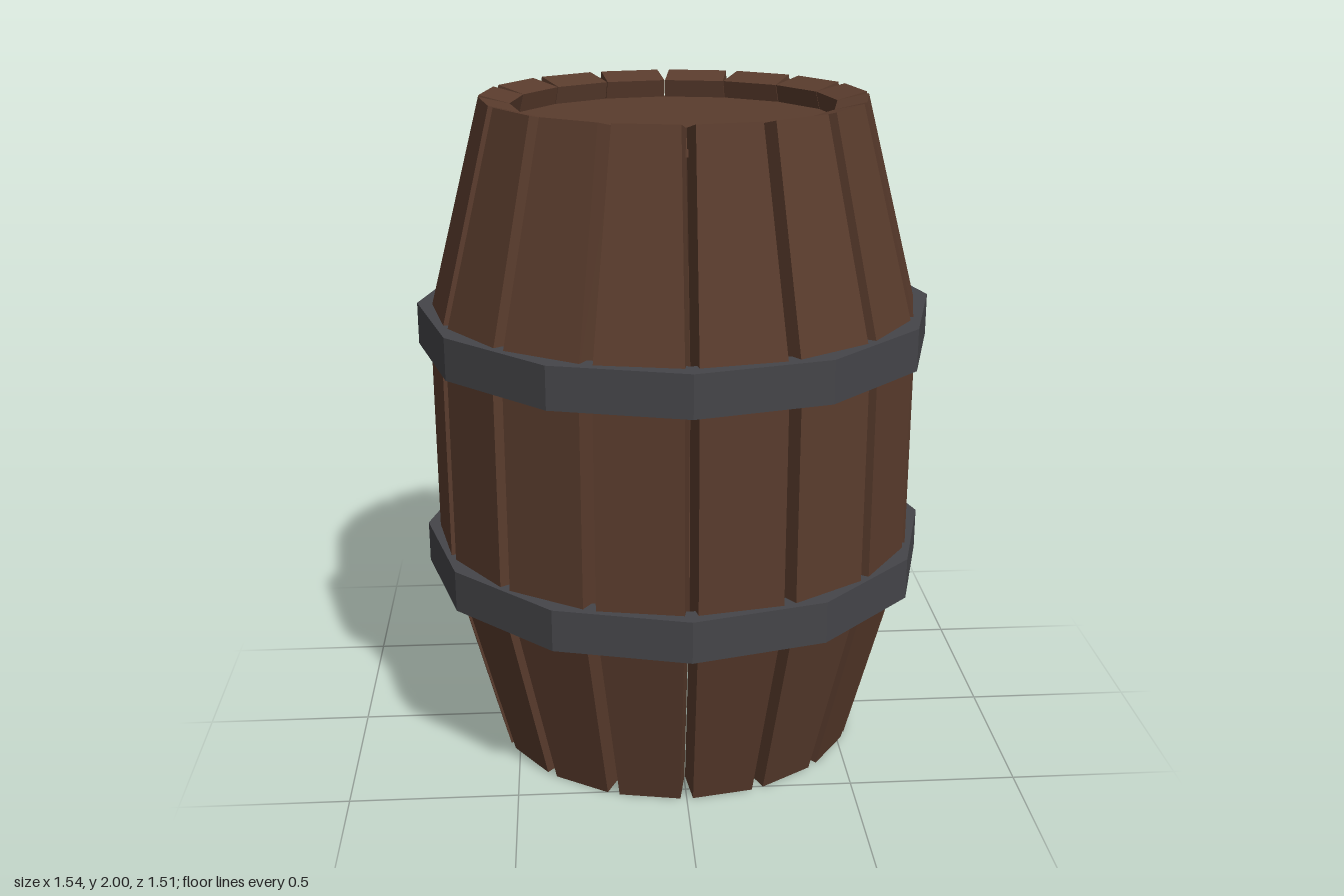
import * as THREE from 'three';

const STAVES = 16;
const STEP = (Math.PI * 2) / STAVES;

// stave levels from bottom to top: outer face distance, inner face distance, heights of both
const LEVELS = [
  { out: 0.552, inn: 0.462, yOut: 0.0, yIn: 0.022 },
  { out: 0.714, inn: 0.622, yOut: 0.64, yIn: 0.65 },
  { out: 0.714, inn: 0.622, yOut: 1.36, yIn: 1.35 },
  { out: 0.552, inn: 0.462, yOut: 2.0, yIn: 1.978 },
];

function flat(geometry) {
  const g = geometry.toNonIndexed();
  g.computeVertexNormals();
  return g;
}

// straight-sided plank bent at two knees; neighbours touch only on the inside
function staveGeometry() {
  const g = new THREE.BoxGeometry(1, 1, 1, 1, 3, 1);
  const p = g.attributes.position;
  for (let i = 0; i < p.count; i++) {
    const level = LEVELS[Math.round((p.getY(i) + 0.5) * 3)];
    const outer = p.getZ(i) > 0;
    const half = level.inn * Math.tan(STEP / 2) - 0.001;
    p.setXYZ(i, Math.sign(p.getX(i)) * half, outer ? level.yOut : level.yIn, outer ? level.out : level.inn);
  }
  return flat(g);
}

// twelve-sided iron band with a closed rectangular section
function hoopGeometry(y0, y1) {
  const rIn = 0.7, rOut = 0.77;
  const section = [[rIn, y0], [rOut, y0], [rOut, y1], [rIn, y1], [rIn, y0]];
  return flat(new THREE.LatheGeometry(section.map(([r, y]) => new THREE.Vector2(r, y)), 12));
}

export function createModel() {
  const wood = new THREE.MeshStandardMaterial({ color: 0x5a3c2d });
  wood.name = 'brown wood';
  const iron = new THREE.MeshStandardMaterial({ color: 0x454549 });
  iron.name = 'dark iron';

  const barrel = new THREE.Group();
  barrel.name = 'barrel';

  // staves
  const staves = new THREE.Group();
  staves.name = 'staves';
  const plank = staveGeometry();
  for (let i = 0; i < STAVES; i++) {
    const stave = new THREE.Mesh(plank, wood);
    stave.name = 'stave';
    stave.rotation.y = (i + 0.5) * STEP;
    staves.add(stave);
  }
  staves.scale.set(1.01, 1, 0.985);
  barrel.add(staves);

  // recessed lid; the bottom stays open
  const lid = new THREE.Mesh(flat(new THREE.CylinderGeometry(0.492, 0.496, 0.02, STAVES)), wood);
  lid.name = 'lid';
  lid.position.y = 1.915;
  barrel.add(lid);

  // hoops
  for (const [name, y0, y1] of [['lowerHoop', 0.555, 0.68], ['upperHoop', 1.265, 1.39]]) {
    const hoop = new THREE.Mesh(hoopGeometry(y0, y1), iron);
    hoop.name = name;
    hoop.scale.z = 0.98;
    barrel.add(hoop);
  }
  return barrel;
}
